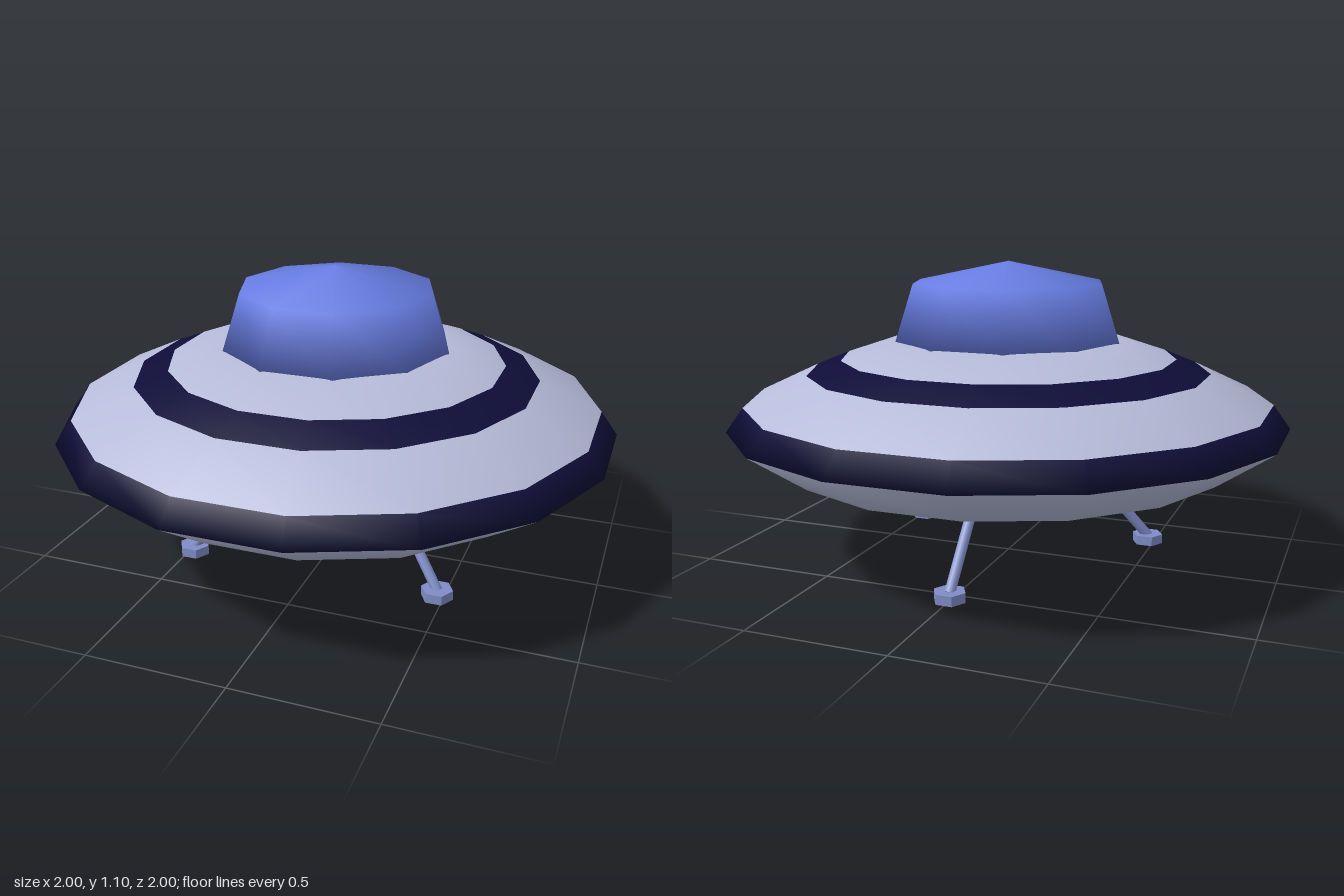
import * as THREE from 'three';

const material = (name, color) => {
  const m = new THREE.MeshStandardMaterial({ color });
  m.name = name;
  return m;
};

const add = (parent, name, geometry, mat) => {
  const mesh = new THREE.Mesh(geometry, mat);
  mesh.name = name;
  parent.add(mesh);
  return mesh;
};

const profile = (points) => points.map(([r, y]) => new THREE.Vector2(r, y));

export function createModel() {
  const model = new THREE.Group();
  model.name = 'flyingSaucer';

  const hullGrey = material('hullGrey', 0xb6bbd9);
  const stripeNavy = material('stripeNavy', 0x0f0d38);
  const domeBlue = material('domeBlue', 0x667be0);
  const gearBlue = material('gearBlue', 0x7f8cc6);
  gearBlue.name = 'gearBlue';

  // Hull: 16-sided smooth disc, radii given across the flats
  const sides = 16;
  const toCorner = 1 / Math.cos(Math.PI / sides);
  const rings = [
    [0, 0.26], [0.4, 0.275], [0.8, 0.37], [1, 0.51], [0.94, 0.595],
    [0.72, 0.7], [0.6, 0.75], [0.41, 0.815], [0, 0.83],
  ].map(([r, y]) => [r * toCorner, y]);
  const hull = new THREE.LatheGeometry(profile(rings), sides, Math.PI / sides);

  // Navy rim and upper stripe are whole bands of the hull
  const bands = rings.length - 1;
  const navyBands = [3, 5];
  for (let i = 0; i < sides; i++) {
    for (let j = 0; j < bands; j++) {
      hull.addGroup((i * bands + j) * 6, 6, navyBands.includes(j) ? 1 : 0);
    }
  }
  add(model, 'hull', hull, [hullGrey, stripeNavy]);

  // Dome: ten-sided smooth canopy with a corner on the x axis
  const dome = new THREE.LatheGeometry(
    profile([[0, 0.78], [0.422, 0.803], [0.352, 1.02], [0, 1.095]]), 10, Math.PI / 2);
  add(model, 'dome', dome, domeBlue);

  // Landing gear: three splayed struts on hexagonal feet
  const up = new THREE.Vector3(0, 1, 0);
  const footGeometry = new THREE.CylinderGeometry(0.058, 0.058, 0.035, 6, 1, false, Math.PI / 6)
    .toNonIndexed();
  footGeometry.computeVertexNormals();
  [Math.PI / 3, -Math.PI / 3, Math.PI].forEach((angle, i) => {
    const leg = new THREE.Group();
    leg.name = ['leftLeg', 'rightLeg', 'backLeg'][i];
    const at = (r, y) => new THREE.Vector3(r * Math.sin(angle), y, r * Math.cos(angle));
    const bottom = at(0.552, 0.025);
    const top = at(0.25, 0.38);
    const axis = top.clone().sub(bottom);
    const strut = add(leg, 'strut',
      new THREE.CylinderGeometry(0.02, 0.02, axis.length(), 8), gearBlue);
    strut.position.copy(bottom).add(top).multiplyScalar(0.5);
    strut.quaternion.setFromUnitVectors(up, axis.normalize());
    add(leg, 'foot', footGeometry, gearBlue).position.copy(at(0.55, 0.0175));
    model.add(leg);
  });

  return model;
}
